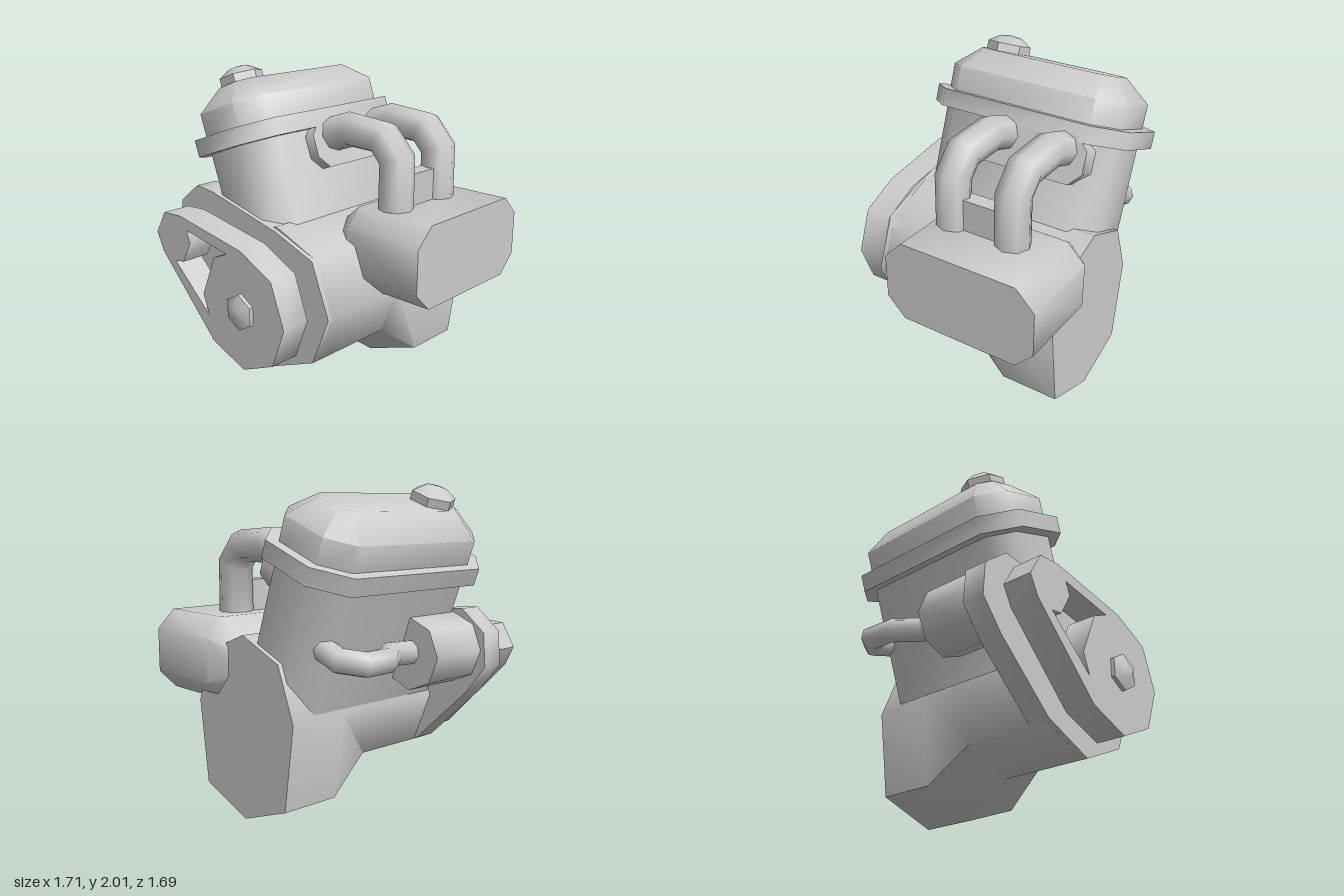
import * as THREE from 'three';
import { toCreasedNormals, mergeVertices } from 'three/addons/utils/BufferGeometryUtils.js';

const material = new THREE.MeshStandardMaterial({ color: 0xcccccc });

function add(parent, name, geometry) {
  const mesh = new THREE.Mesh(geometry, material);
  mesh.name = name;
  parent.add(mesh);
  return mesh;
}

// Smooth the 45 degree facets, keep end faces sharp
const crease = (geometry) => toCreasedNormals(geometry, 0.9);

// Skin through equal-length convex sections [{ z, pts }], advancing along +z
function loft(sections) {
  const out = [];
  const put = (s, i) => {
    const p = s.pts[i % s.pts.length];
    out.push(p[0], p[1], p[2] ?? s.z);
  };
  const n = sections[0].pts.length;
  const last = sections[sections.length - 1];
  for (let k = 0; k < sections.length - 1; k++) {
    const a = sections[k], b = sections[k + 1];
    for (let i = 0; i < n; i++) {
      put(a, i); put(a, i + 1); put(b, i + 1);
      put(a, i); put(b, i + 1); put(b, i);
    }
  }
  for (let i = 1; i < n - 1; i++) {
    put(sections[0], 0); put(sections[0], i + 1); put(sections[0], i);
    put(last, 0); put(last, i); put(last, i + 1);
  }
  const g = new THREE.BufferGeometry();
  g.setAttribute('position', new THREE.Float32BufferAttribute(out, 3));
  return crease(g);
}

// Rectangle with cut corners, given half sizes
function cutRect(cx, cy, w, h, c) {
  return [
    [w, -h + c], [w, h - c], [w - c, h], [-w + c, h],
    [-w, h - c], [-w, -h + c], [-w + c, -h], [w - c, -h],
  ].map(([x, y]) => [cx + x, cy + y]);
}

// Flat plate between two depths, with an optional hole
function plate(outline, z0, z1, hole) {
  const toPts = (list) => list.map(([x, y]) => new THREE.Vector2(x, y));
  const shape = new THREE.Shape(toPts(outline));
  if (hole) shape.holes.push(new THREE.Path(toPts(hole)));
  const g = new THREE.ExtrudeGeometry(shape, { depth: z1 - z0, bevelEnabled: false });
  return crease(g.translate(0, 0, z0));
}

// Round bar lying along z
function bar(x, y, r, z0, z1, sides = 8, r1 = r) {
  const g = new THREE.CylinderGeometry(r1, r, z1 - z0, sides);
  g.rotateX(Math.PI / 2).translate(x, y, (z0 + z1) / 2);
  return crease(g.toNonIndexed());
}

// Polyline whose corners are sampled exactly
class BentPath extends THREE.Curve {
  constructor(points) {
    super();
    this.pts = points.map((p) => new THREE.Vector3(...p));
  }
  getPoint(t, target = new THREE.Vector3()) {
    const n = this.pts.length - 1;
    const i = Math.min(Math.floor(t * n + 1e-6), n - 1);
    return target.lerpVectors(this.pts[i], this.pts[i + 1], t * n - i);
  }
  getPointAt(u, target) { return this.getPoint(u, target); }
  getTangentAt(u, target = new THREE.Vector3()) {
    const p = this.pts, n = p.length - 1, i = Math.round(u * n);
    target.set(0, 0, 0);
    if (i > 0) target.add(p[i].clone().sub(p[i - 1]).normalize());
    if (i < n) target.add(p[i + 1].clone().sub(p[i]).normalize());
    return target.normalize();
  }
}
function pipe(points, r) {
  return new THREE.TubeGeometry(new BentPath(points), points.length - 1, r, 8, false);
}

export function createModel() {
  const engine = new THREE.Group();
  engine.name = 'engine';

  // Crankcase, with the sump dropping at the rear
  const upper = [[0.5, 0.67], [0.37, 1.0], [0.04, 1.13], [-0.29, 1.0], [-0.42, 0.67]];
  const round = [...upper, [-0.29, 0.35], [0.04, 0.21], [0.37, 0.35]];
  const deep = [...upper, [-0.34, 0.14], [0.04, 0], [0.43, 0.14]];
  add(engine, 'crankcase', loft([
    { z: -0.77, pts: deep }, { z: -0.39, pts: deep },
    { z: -0.1, pts: round }, { z: 0.5, pts: round },
  ]));

  // Timing cover
  add(engine, 'timingCover', plate([
    [-0.855, 0.91], [-0.71, 0.73], [-0.31, 0.36], [0.04, 0.21], [0.37, 0.35],
    [0.5, 0.67], [0.37, 1.0], [0.06, 1.11], [-0.51, 1.24], [-0.67, 1.255], [-0.84, 1.12],
  ], 0.38, 0.53));

  // Belt and pulleys, with the open gap between them
  add(engine, 'beltDrive', plate([
    [-0.77, 0.98], [-0.71, 0.86], [-0.24, 0.39], [0.04, 0.285], [0.3, 0.4],
    [0.4, 0.66], [0.3, 0.93], [0.045, 1.05], [-0.52, 1.14], [-0.68, 1.13],
  ], 0.6, 0.79, [
    [-0.46, 1.06], [-0.43, 0.98], [-0.51, 0.84], [-0.59, 0.83],
    [-0.27, 0.55], [-0.32, 0.68], [-0.2, 0.95], [-0.08, 1.0],
  ]));
  add(engine, 'crankShaft', bar(0.04, 0.67, 0.085, 0.5, 0.62));
  add(engine, 'generatorShaft', bar(-0.6, 1.0, 0.065, 0.5, 0.62));
  add(engine, 'pulleyNut', bar(0.04, 0.67, 0.115, 0.78, 0.815, 6));
  add(engine, 'pulleyNutTip', bar(0.04, 0.67, 0.115, 0.815, 0.845, 6, 0.04));

  // Generator on the side
  add(engine, 'generator', bar(-0.6, 1.01, 0.22, -0.02, 0.4));

  // Tilted cylinder head
  const head = new THREE.Group();
  head.name = 'cylinderHead';
  head.rotation.z = THREE.MathUtils.degToRad(20);
  engine.add(head);
  const S = 0.153, D = 0.12;
  const level = (t, w, d, c) => ({ z: t, pts: cutRect(S, D, w, d, c) });
  const upright = (levels) => loft(levels).rotateX(-Math.PI / 2);
  add(head, 'cylinderBlock', upright([level(0.8, 0.3, 0.62, 0.14), level(1.6, 0.3, 0.62, 0.14)]));
  add(head, 'headFlange', upright([level(1.572, 0.373, 0.695, 0.18), level(1.68, 0.373, 0.695, 0.18)]));
  add(head, 'valveCover', upright([
    level(1.66, 0.306, 0.62, 0.14), level(1.832, 0.306, 0.62, 0.14), level(1.967, 0.155, 0.48, 0.07),
  ]));

  // Oil filler cap
  const cap = new THREE.LatheGeometry(
    [[0.14, 1.93], [0.14, 2.02], [0.07, 2.065], [0, 2.075]].map(([x, y]) => new THREE.Vector2(x, y)),
    6, Math.PI / 6);
  add(head, 'fillerCap', crease(cap.toNonIndexed()).translate(0.14, 0, 0.225));

  // Intake port plate on the head's side
  const port = cutRect(0.27, 1.46, 0.38, 0.15, 0.08);
  add(head, 'intakePort', loft([{ z: 0.4, pts: port }, { z: 0.526, pts: port }]).rotateY(Math.PI / 2));

  // Air box, narrowed towards the crankcase
  add(engine, 'airBox', loft([
    { z: 0.13, pts: cutRect(0.343, 0.95, 0.39, 0.14, 0.08) },
    { z: 0.3, pts: cutRect(0.343, 0.95, 0.505, 0.26, 0.12) },
    { z: 0.85, pts: cutRect(0.343, 0.95, 0.505, 0.26, 0.12) },
  ]).rotateY(Math.PI / 2));

  // Intake pipes and the web between them
  for (const z of [-0.075, -0.482]) {
    add(engine, 'intakePipe', pipe([
      [-0.1, 1.57, z], [0.12, 1.645, z], [0.385, 1.63, z], [0.49, 1.515, z], [0.49, 1.15, z],
    ], 0.11));
  }
  add(engine, 'pipeWeb', new THREE.BoxGeometry(0.1, 0.26, 0.3).translate(0.48, 1.28, -0.28));

  // Exhaust pipe from the head to the generator side
  add(engine, 'exhaustPipe', pipe([
    [-0.3, 1.15, -0.58], [-0.64, 1.05, -0.62], [-0.74, 1.03, -0.52],
    [-0.73, 1.03, -0.35], [-0.61, 1.03, -0.2], [-0.6, 1.02, 0.02],
  ], 0.075));

  return engine;
}
